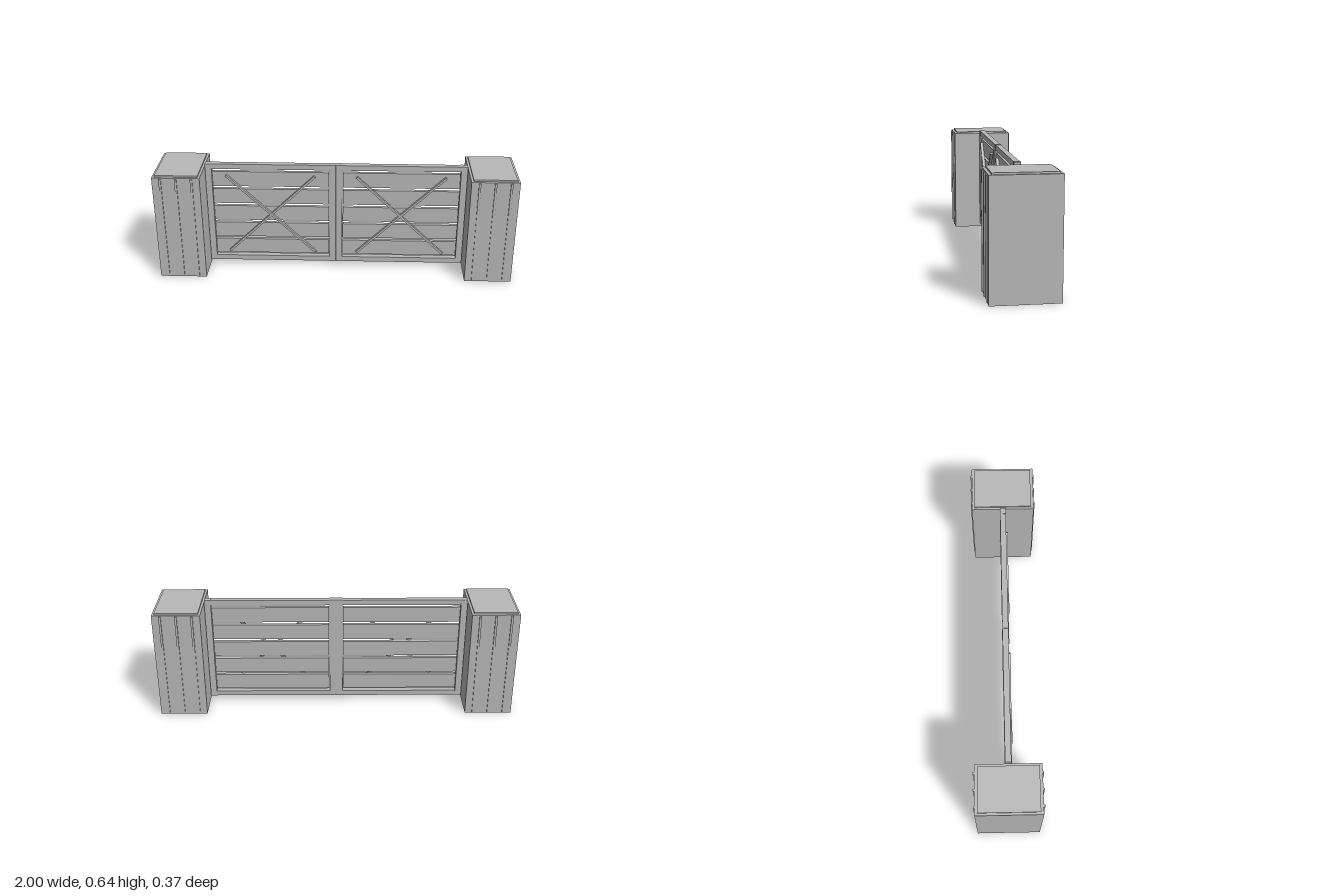
import * as THREE from 'three';

const grey = new THREE.MeshStandardMaterial({ name: 'grey', color: 0xb8b8b8 });

// Box given by its limits on each axis
function box(parent, name, [x0, x1], [y0, y1], [z0, z1]) {
  const mesh = new THREE.Mesh(new THREE.BoxGeometry(x1 - x0, y1 - y0, z1 - z0), grey);
  mesh.name = name;
  mesh.position.set((x0 + x1) / 2, (y0 + y1) / 2, (z0 + z1) / 2);
  parent.add(mesh);
  return mesh;
}

// Square pillar with a thin cap and three battens on the front and back
function pillar(side) {
  const g = new THREE.Group();
  g.name = side > 0 ? 'leftPillar' : 'rightPillar';
  g.position.x = side * 0.8685;
  box(g, 'pillarBody', [-0.1315, 0.1315], [0, 0.618], [-0.176, 0.176]);
  box(g, 'pillarCap', [-0.119, 0.119], [0.618, 0.627], [-0.161, 0.161]);
  for (const x of [-0.086, 0, 0.086]) {
    box(g, 'frontBatten', [x - 0.006, x + 0.006], [0.008, 0.612], [0.174, 0.183]);
    box(g, 'backBatten', [x - 0.006, x + 0.006], [0.008, 0.612], [-0.183, -0.174]);
  }
  return g;
}

// Gate leaf: frame, spaced planks and crossed braces on the front
function gateLeaf(side) {
  const g = new THREE.Group();
  g.name = side > 0 ? 'leftGate' : 'rightGate';
  g.position.x = side * 0.3675;
  const depth = [-0.017, 0.017];
  const outer = side * 0.348, inner = side * -0.349;
  for (const x of [outer, inner]) {
    box(g, 'gatePost', [x - 0.018, x + 0.018], [0.025, 0.637], depth);
  }
  box(g, 'topRail', [-0.331, 0.331], [0.606, 0.636], [-0.016, 0.016]);
  box(g, 'bottomRail', [-0.331, 0.331], [0.025, 0.055], [-0.016, 0.016]);
  for (let i = 0; i < 5; i++) {
    const y = 0.117 + i * 0.1067;
    box(g, 'plank', [-0.328, 0.328], [y - 0.045, y + 0.045], [-0.01, 0.01]);
  }
  for (const s of [-1, 1]) {
    const brace = box(g, 'crossBrace', [-0.346, 0.346], [0.322, 0.334], [0.008, 0.026]);
    brace.rotation.z = s * Math.atan2(0.485, 0.505);
  }
  return g;
}

export function createModel() {
  const model = new THREE.Group();
  model.name = 'doubleGate';
  for (const side of [-1, 1]) model.add(pillar(side), gateLeaf(side));
  return model;
}
